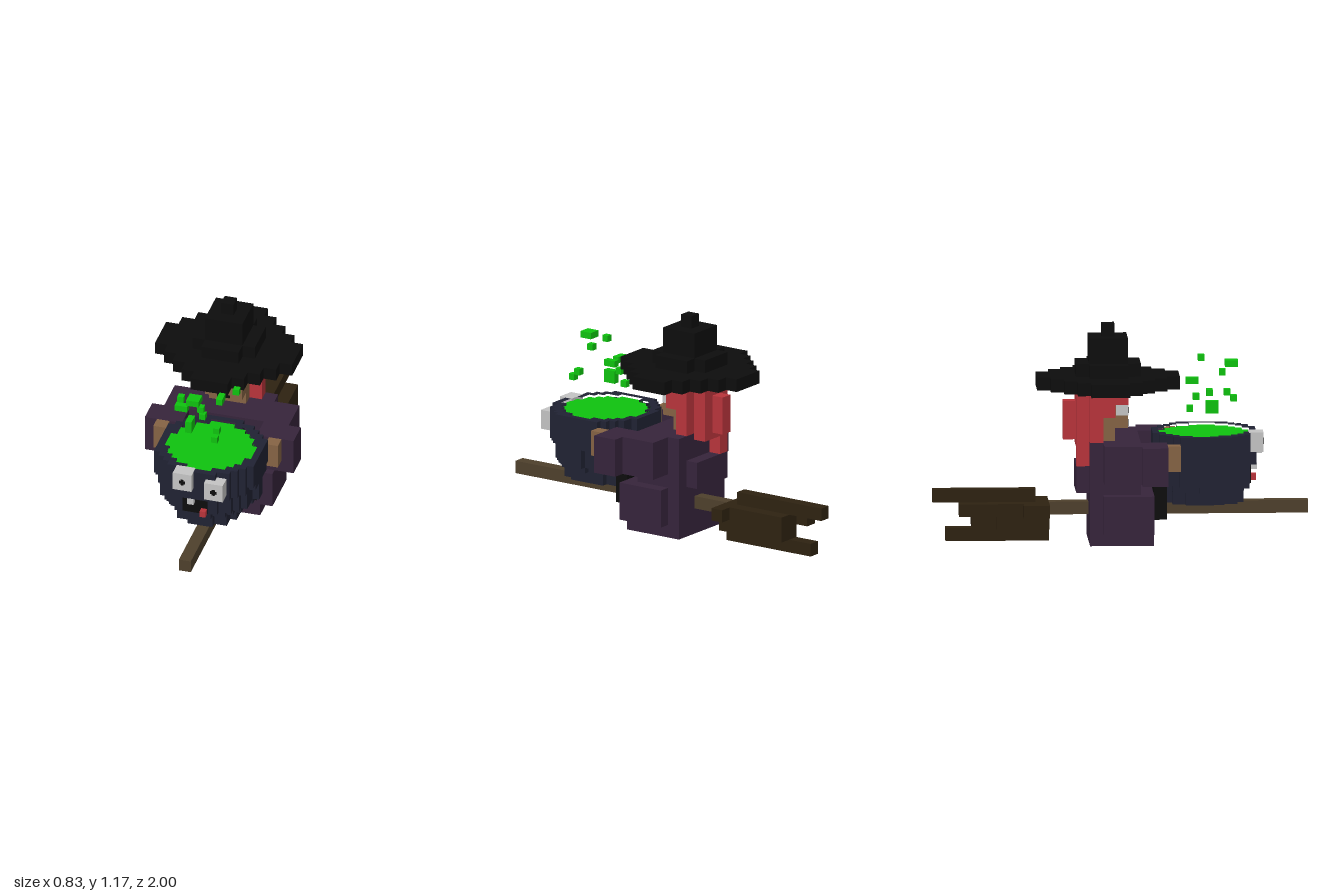
import * as THREE from 'three';

const U = 0.069;   // large block
const H = 0.0345;  // small block

export function createModel() {
  const root = new THREE.Group();
  root.name = 'witchOnBroom';
  const mat = (name, hex) => {
    const m = new THREE.MeshStandardMaterial({ color: hex });
    m.name = name;
    return m;
  };
  const black = mat('black', 0x0d0d0d);
  const green = mat('potionGreen', 0x0fc20f);
  const red = mat('hairRed', 0xb8343b);
  const skin = mat('skin', 0x856344);
  const purple = mat('robePurple', 0x36243b);
  const navy = mat('ironNavy', 0x202233);
  const white = mat('white', 0xc4c4c4);
  const wood = mat('wood', 0x4e402c);
  const straw = mat('straw', 0x2e2211);

  const part = (name) => {
    const g = new THREE.Group();
    g.name = name;
    root.add(g);
    return g;
  };
  // Box from its limits on each axis
  const box = (g, name, m, x0, x1, y0, y1, z0, z1) => {
    const mesh = new THREE.Mesh(new THREE.BoxGeometry(x1 - x0, y1 - y0, z1 - z0), m);
    mesh.position.set((x0 + x1) / 2, (y0 + y1) / 2, (z0 + z1) / 2);
    mesh.name = name;
    g.add(mesh);
  };
  // Stepped outline from row half widths, listed from far to near
  const outline = (rows, u) => {
    const n = rows.length, pts = [];
    rows.forEach((w, i) => {
      const z0 = (i - n / 2) * u;
      pts.push(new THREE.Vector2(w, -z0), new THREE.Vector2(w, -z0 - u));
    });
    return pts.concat(pts.map((p) => new THREE.Vector2(-p.x, p.y)).reverse());
  };
  // Row half widths of a blocky ellipse
  const ellipse = (rx, rz, u) => {
    const n = Math.round((2 * rz) / u);
    return Array.from({ length: n }, (_, i) => {
      const t = ((i + 0.5 - n / 2) * u) / rz;
      return Math.max(1, Math.round((rx * Math.sqrt(1 - t * t)) / u)) * u;
    });
  };
  // Flat slab with a stepped outline and an optional stepped hole
  const slab = (g, name, m, rows, u, cx, cz, y0, y1, hole) => {
    const shape = new THREE.Shape(outline(rows, u));
    if (hole) shape.holes.push(new THREE.Path(outline(hole, u)));
    const geo = new THREE.ExtrudeGeometry(shape, { depth: y1 - y0, bevelEnabled: false });
    geo.rotateX(-Math.PI / 2);
    const mesh = new THREE.Mesh(geo, m);
    mesh.position.set(cx, y0, cz);
    mesh.name = name;
    g.add(mesh);
  };

  // Hat
  const hat = part('hat');
  const blocks = (a) => a.map((v) => v * U);
  const hx = -0.035, hz = -0.069;
  slab(hat, 'brim', black, blocks([1.5, 2.5, 3.5, 4.5, 5.5, 5.5, 5.5, 4.5, 3.5, 2.5, 1.5]), U, hx, hz, 0.83, 0.9);
  slab(hat, 'hatBand', black, blocks([1.5, 2.5, 2.5, 2.5, 1.5]), U, hx, hz, 0.9, 0.97);
  slab(hat, 'crown', black, blocks([1.5, 1.5, 1.5]), U, hx, hz, 0.97, 1.107);
  slab(hat, 'tip', black, blocks([0.5]), U, hx, hz, 1.107, 1.175);

  // Head and face
  const head = part('head');
  box(head, 'face', skin, -0.138, 0.068, 0.625, 0.83, -0.17, 0.035);
  box(head, 'chin', skin, -0.138, 0.068, 0.54, 0.625, -0.17, -0.035);
  for (const x of [-0.138, 0]) {
    box(head, 'eye', white, x - 0.001, x + 0.069, 0.692, 0.762, -0.03, 0.037);
  }
  for (const s of [-1, 1]) {
    box(head, 'pupil', black, hx + s * 0.051 - 0.016, hx + s * 0.051 + 0.016, 0.698, 0.715, 0.035, 0.042);
    box(head, 'pupilTop', black, hx + s * 0.043 - 0.008, hx + s * 0.043 + 0.008, 0.711, 0.726, 0.035, 0.042);
  }
  box(head, 'mouth', black, -0.07, 0, 0.625, 0.64, 0.033, 0.041);
  box(head, 'upperLip', black, -0.06, -0.012, 0.64, 0.655, 0.033, 0.041);

  // Hair: stepped side locks and back
  const hair = part('hair');
  for (const x of [-0.207, 0.068]) {
    box(hair, 'sideTop', red, x, x + U, 0.76, 0.83, -0.17, 0.035);
    box(hair, 'sideMiddle', red, x, x + U, 0.69, 0.76, -0.17, -0.035);
    box(hair, 'sideLower', red, x, x + U, 0.555, 0.69, -0.17, -0.1);
  }
  box(hair, 'back', red, -0.138, 0.068, 0.52, 0.83, -0.24, -0.165);
  box(hair, 'backRidge', red, -0.07, 0, 0.555, 0.76, -0.308, -0.24);
  box(hair, 'hangingLock', red, -0.138, -0.07, 0.42, 0.56, -0.24, -0.165);

  // Robe
  const robe = part('robe');
  box(robe, 'torso', purple, -0.207, 0.207, 0.07, 0.555, -0.17, 0.1);
  box(robe, 'hem', purple, -0.207, 0.207, 0, 0.07, -0.17, 0.17);
  box(robe, 'lap', purple, -0.207, 0.207, 0.07, 0.275, 0.1, 0.17);
  box(robe, 'backFold', purple, -0.138, 0.138, 0.275, 0.42, -0.24, -0.17);

  // Mirrored limbs
  const limbs = part('limbs');
  const pair = (name, m, a, b, ...rest) => {
    box(limbs, name, m, a, b, ...rest);
    box(limbs, name, m, -b, -a, ...rest);
  };
  pair('thigh', purple, 0.2, 0.275, 0.07, 0.275, -0.1, 0.17);
  pair('upperArm', purple, 0.2, 0.345, 0.35, 0.555, -0.1, 0.1);
  pair('sleeve', purple, 0.207, 0.412, 0.35, 0.555, 0.1, 0.238);
  pair('hand', skin, 0.275, 0.345, 0.418, 0.555, 0.238, 0.307);
  pair('boot', black, 0.068, 0.207, 0.14, 0.35, 0.17, 0.24);

  // Broom
  const broom = part('broom');
  box(broom, 'handle', wood, 0, 0.066, 0.14, 0.208, -0.4, 1);
  box(broom, 'topStraw', straw, 0, 0.066, 0.208, 0.277, -1, -0.45);
  box(broom, 'coreStraw', straw, 0, 0.066, 0.07, 0.208, -0.79, -0.38);
  box(broom, 'bottomStraw', straw, 0, 0.066, 0, 0.07, -0.93, -0.38);
  box(broom, 'rightStraw', straw, -0.07, 0, 0.14, 0.208, -0.86, -0.38);
  box(broom, 'rightLowStraw', straw, -0.07, 0, 0.07, 0.14, -0.66, -0.38);
  box(broom, 'leftStraw', straw, 0.066, 0.135, 0.07, 0.208, -0.79, -0.38);
  box(broom, 'rightTuft', straw, -0.138, -0.07, 0.14, 0.208, -0.52, -0.38);
  box(broom, 'leftTuft', straw, 0.135, 0.204, 0.14, 0.208, -0.45, -0.38);

  // Cauldron in stepped layers, open at the top
  const cauldron = part('cauldron');
  const cx = 0.015, cz = 0.445;
  [[0.19, 0.207, 0.208, 0.28], [0.225, 0.2415, 0.28, 0.312], [0.26, 0.2415, 0.312, 0.415], [0.275, 0.276, 0.415, 0.45], [0.29, 0.276, 0.45, 0.555]]
    .forEach(([rx, rz, y0, y1]) => slab(cauldron, 'bowl', navy, ellipse(rx, rz, H), H, cx, cz, y0, y1));
  slab(cauldron, 'rim', navy, ellipse(0.29, 0.276, H), H, cx, cz, 0.555, 0.588, ellipse(0.23, 0.2415, H));
  slab(cauldron, 'potion', green, ellipse(0.23, 0.2415, H), H, cx, cz, 0.55, 0.576);

  // Cauldron face
  for (const [x, y] of [[-0.053, 0.537], [0.12, 0.503]]) {
    box(cauldron, 'cauldronEye', white, x - 0.052, x + 0.052, y - 0.052, y + 0.052, 0.68, 0.758);
    box(cauldron, 'pupilAcross', black, x - 0.017, x + 0.017, y - 0.008, y + 0.008, 0.757, 0.762);
    box(cauldron, 'pupilUpright', black, x - 0.008, x + 0.008, y - 0.017, y + 0.017, 0.757, 0.762);
  }
  box(cauldron, 'cauldronMouth', black, -0.07, 0.066, 0.312, 0.415, 0.685, 0.692);
  box(cauldron, 'tooth', white, -0.035, 0, 0.381, 0.416, 0.68, 0.725);
  box(cauldron, 'tongue', red, 0.034, 0.066, 0.312, 0.347, 0.68, 0.725);

  // Potion drops: corner position, then size in small blocks
  const drops = part('potionDrops');
  [[-0.07, 0.938, 0.555, 2, 1, 2], [0.138, 0.938, 0.42, 1, 1, 1], [-0.14, 0.904, 0.52, 1, 1, 1],
    [0.034, 0.832, 0.35, 1, 1, 2], [-0.175, 0.798, 0.45, 2, 1, 1], [-0.07, 0.762, 0.383, 1, 1, 1],
    [-0.07, 0.697, 0.35, 1, 1, 1], [0.068, 0.762, 0.555, 1, 1, 1], [0.068, 0.729, 0.59, 1, 1, 1],
    [-0.106, 0.693, 0.45, 1, 2, 2]]
    .forEach(([x, y, z, a, b, c]) => box(drops, 'drop', green, x, x + a * H, y, y + b * H, z, z + c * H));

  return root;
}
